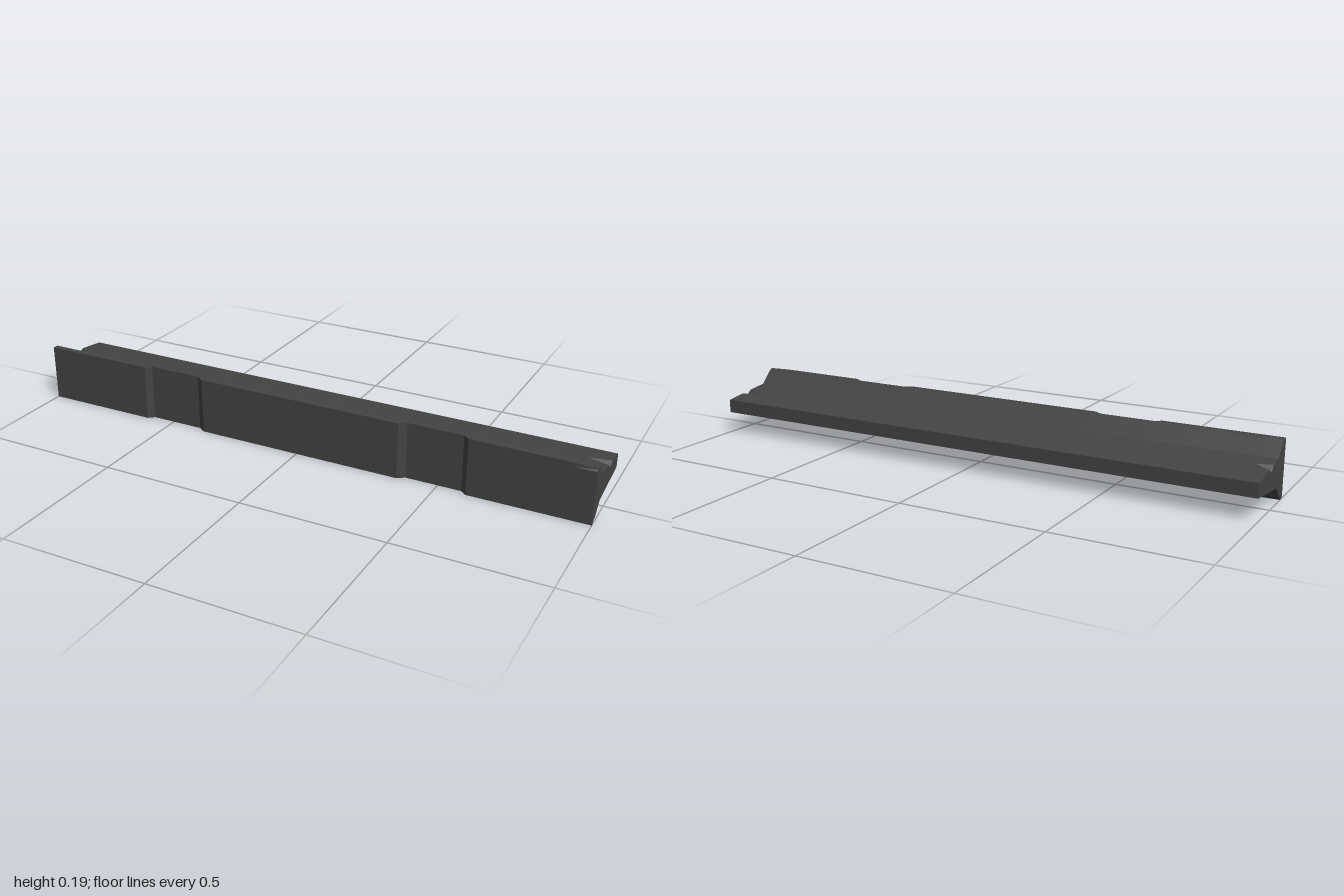
import * as THREE from 'three';

const FRONT = 0.13, RECESS = 0.113;

// Height of the sloping upper web face at depth z
const slopeY = (z) => 0.122 + ((z + 0.13) / 0.19) * 0.023;

// Stations along the beam: x, front depth, centre of the web chip, chip amount
const stations = [
  { x: -1, front: FRONT, chipZ: -0.008, chip: 1 },
  { x: -0.95, front: FRONT, chipZ: 0 },
  { x: -0.6, front: FRONT },
  { x: -0.58, front: RECESS },
  { x: -0.39, front: RECESS },
  { x: -0.365, front: FRONT },
  { x: 0.365, front: FRONT },
  { x: 0.39, front: RECESS },
  { x: 0.58, front: RECESS },
  { x: 0.6, front: FRONT },
  { x: 0.93, front: FRONT, chipZ: -0.04 },
  { x: 1, front: FRONT, chipZ: -0.036, chip: 1, corners: true },
];

// T-shaped cross-section, from the lower front edge up and round the back
function section({ x, front, chipZ = -0.02, chip = 0, corners = false }) {
  const half = 0.023 * chip;
  const profile = [
    [front, 0], [front, 0.18],
    corners ? [0.123, 0.186] : [front, 0.195],
    [0.12, 0.195], [0.11, 0.195], [0.06, 0.145],
    [chipZ + half, slopeY(chipZ + half)],
    [chipZ, slopeY(chipZ) - 0.016 * chip],
    [chipZ - half, slopeY(chipZ - half)],
    [-0.13, 0.122], [-0.13, 0.075], [0.06, 0.052], [0.1, 0.0104],
    corners ? [0.111, 0.011] : [0.11, 0],
    [0.12, 0],
  ];
  return profile.map(([z, y]) => new THREE.Vector3(x, y, Math.min(z, front)));
}

function beamGeometry() {
  const positions = [];
  const a = new THREE.Vector3(), b = new THREE.Vector3();
  const triangle = (p, q, r) => {
    a.subVectors(q, p).cross(b.subVectors(r, p));
    if (a.length() < 1e-9) return;
    for (const v of [p, q, r]) positions.push(v.x, v.y, v.z);
  };

  // Sides between neighbouring sections
  const rings = stations.map(section);
  for (let s = 0; s < rings.length - 1; s++) {
    const r0 = rings[s], r1 = rings[s + 1];
    for (let i = 0; i < r0.length; i++) {
      const j = (i + 1) % r0.length;
      triangle(r0[i], r1[i], r1[j]);
      triangle(r0[i], r1[j], r0[j]);
    }
  }

  // End caps, wound to face outwards
  for (const [ring, side] of [[rings[0], -1], [rings[rings.length - 1], 1]]) {
    const outline = ring.map((p) => new THREE.Vector2(-p.z, p.y));
    for (const [i, j, k] of THREE.ShapeUtils.triangulateShape(outline, [])) {
      const area = THREE.ShapeUtils.area([outline[i], outline[j], outline[k]]);
      if (area * side > 0) triangle(ring[i], ring[j], ring[k]);
      else triangle(ring[i], ring[k], ring[j]);
    }
  }

  const geometry = new THREE.BufferGeometry();
  geometry.setAttribute('position', new THREE.Float32BufferAttribute(positions, 3));
  geometry.computeVertexNormals();
  return geometry;
}

export function createModel() {
  const group = new THREE.Group();
  group.name = 'chippedBeam';
  const material = new THREE.MeshStandardMaterial({ color: 0x444444, flatShading: true });
  const beam = new THREE.Mesh(beamGeometry(), material);
  beam.name = 'beam';
  group.add(beam);
  return group;
}
